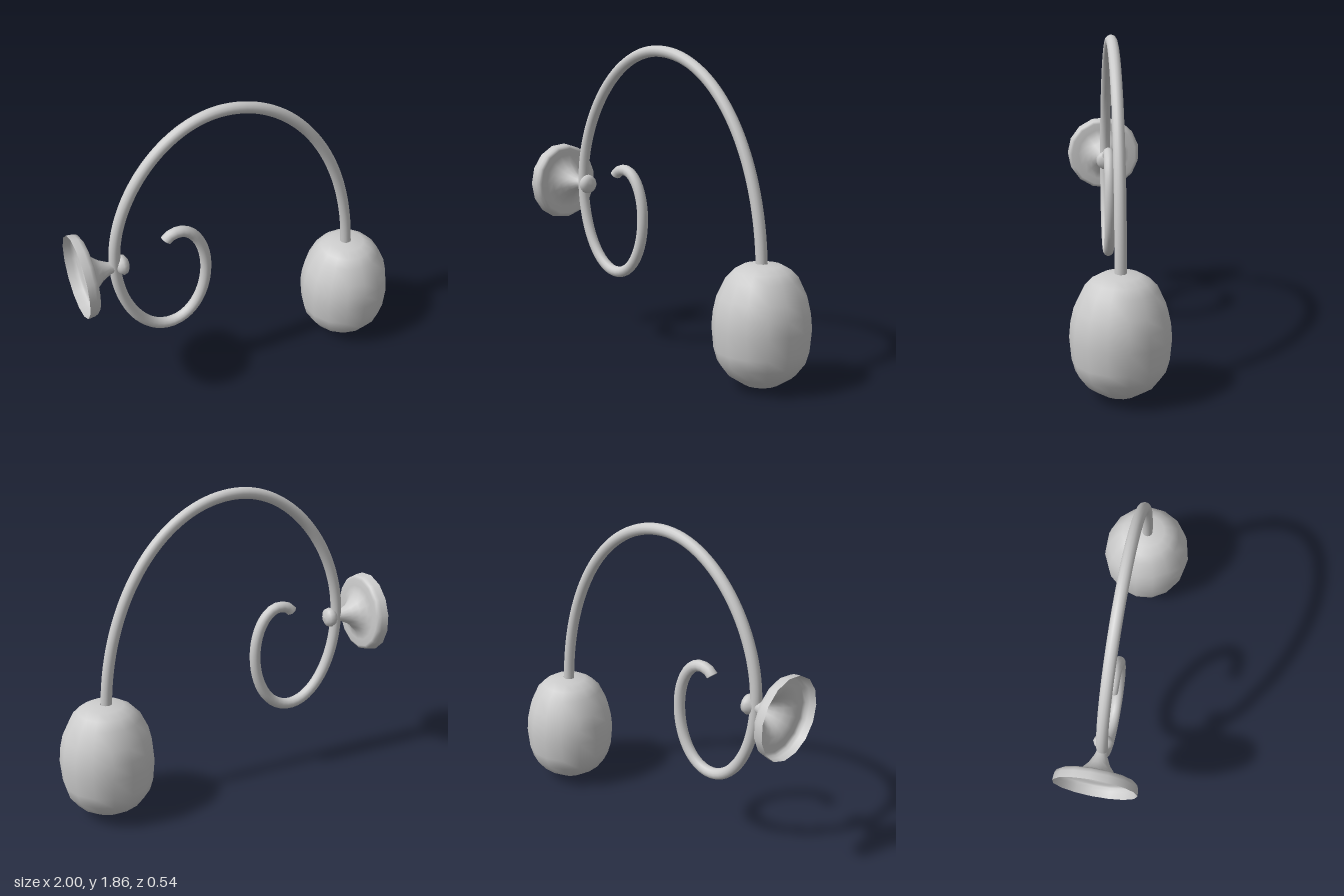
import * as THREE from 'three';

const material = new THREE.MeshStandardMaterial({ color: 0xcccccc, side: THREE.DoubleSide });
const AXIS_Z = -0.003;
const SIDES = 15;

function addMesh(parent, name, geometry) {
  const mesh = new THREE.Mesh(geometry, material);
  mesh.name = name;
  parent.add(mesh);
  return mesh;
}

// Profile of [radius, height] pairs, listed upwards
function lathe(profile) {
  return new THREE.LatheGeometry(profile.map(([r, h]) => new THREE.Vector2(r, h)), SIDES);
}

// Chain of cubic curves; each step is [control, control, end]
function bezierPath(start, steps) {
  const path = new THREE.CurvePath();
  let from = new THREE.Vector3(...start, 0);
  for (const step of steps) {
    const [a, b, to] = step.map(([x, y]) => new THREE.Vector3(x, y, 0));
    path.add(new THREE.CubicBezierCurve3(from, a, b, to));
    from = to;
  }
  return path;
}

export function createModel() {
  const group = new THREE.Group();
  group.name = 'wallLamp';

  // Hollow wall plate flaring down to a thin neck
  const mount = new THREE.Group();
  mount.name = 'wallMount';
  mount.position.set(0, 0.985, AXIS_Z);
  mount.rotation.z = -Math.PI / 2;
  group.add(mount);
  addMesh(mount, 'wallPlate', lathe([
    [0.24, -1], [0.236, -0.96], [0.228, -0.94], [0.212, -0.931], [0.17, -0.932],
    [0.128, -0.925], [0.09, -0.895], [0.06, -0.86], [0.036, -0.81], [0.027, -0.775],
  ]));

  // Knob at the end of the neck
  addMesh(mount, 'knob', lathe([
    [0.027, -0.775], [0.048, -0.758], [0.06, -0.735], [0.053, -0.712], [0.03, -0.698], [0, -0.694],
  ]));

  // Arched arm that curls into a scroll under the mount
  const path = bezierPath([0.72, 0.66], [
    [[0.70, 1.35], [0.33, 1.825], [-0.1, 1.825]],
    [[-0.47, 1.825], [-0.775, 1.4], [-0.775, 1.0]],
    [[-0.775, 0.7], [-0.63, 0.46], [-0.465, 0.46]],
    [[-0.32, 0.46], [-0.225, 0.63], [-0.225, 0.82]],
    [[-0.225, 0.98], [-0.3, 1.105], [-0.385, 1.105]],
    [[-0.42, 1.105], [-0.445, 1.095], [-0.465, 1.07]],
  ]);
  const tubeRadius = 0.033;
  addMesh(group, 'arm', new THREE.TubeGeometry(path, 120, tubeRadius, 14, false)).position.z = AXIS_Z;

  // Flat end of the scroll
  const cap = addMesh(group, 'scrollEnd', new THREE.CircleGeometry(tubeRadius, 14));
  cap.position.copy(path.getPoint(1)).setZ(AXIS_Z);
  cap.quaternion.setFromUnitVectors(new THREE.Vector3(0, 0, 1), path.getTangent(1));

  // Egg-shaped shade with a small hole underneath
  const shade = addMesh(group, 'shade', lathe([
    [0.022, 0], [0.1, 0.022], [0.193, 0.082], [0.244, 0.15], [0.264, 0.22], [0.2755, 0.345],
    [0.268, 0.43], [0.25, 0.51], [0.203, 0.61], [0.16, 0.655], [0.107, 0.685], [0.03, 0.692],
  ]));
  shade.position.set(0.726, 0, AXIS_Z);

  return group;
}
